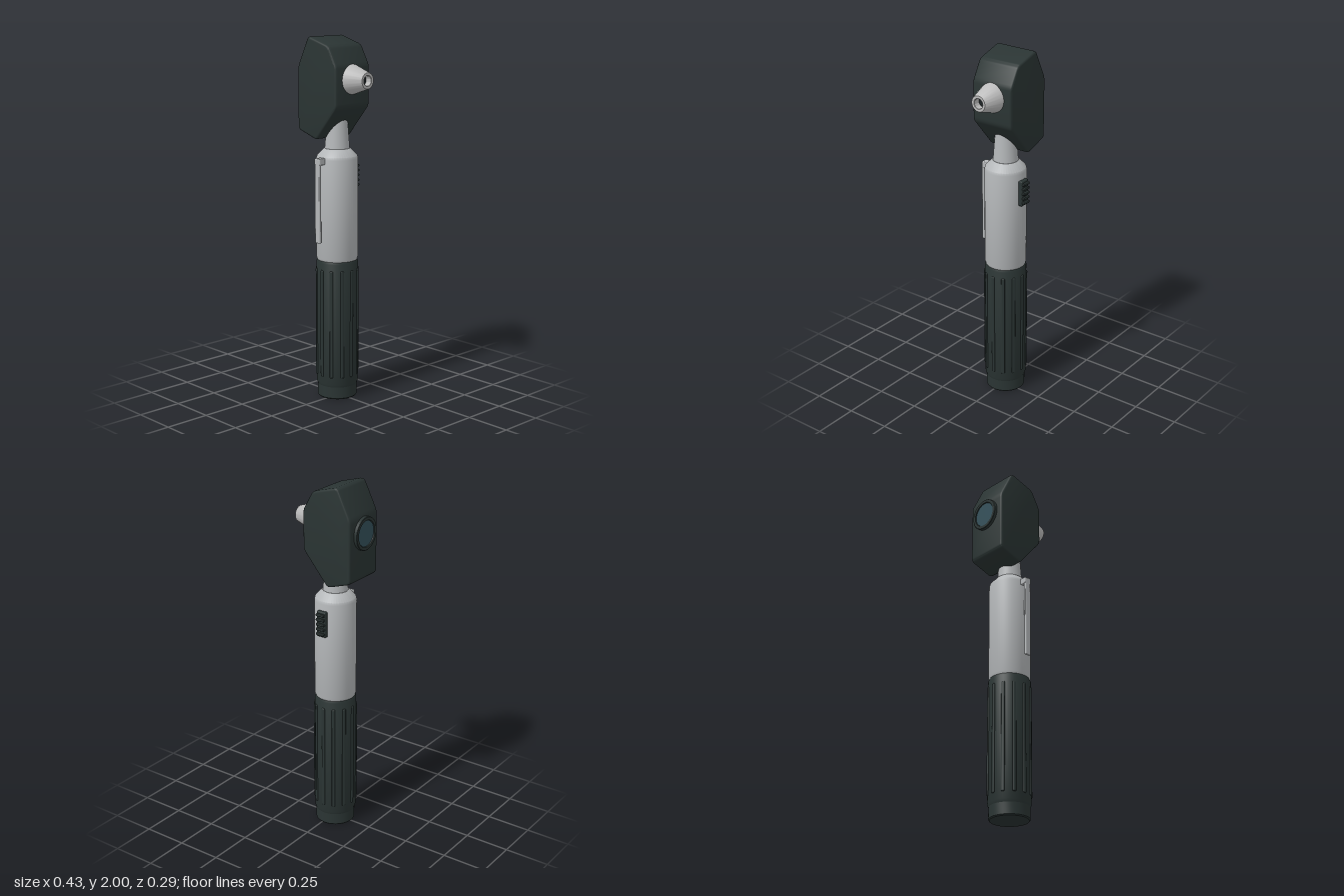
import * as THREE from 'three';
import { toCreasedNormals } from 'three/addons/utils/BufferGeometryUtils.js';
import { RoundedBoxGeometry } from 'three/addons/geometries/RoundedBoxGeometry.js';

const AX = -0.018, AZ = -0.004; // handle axis

const material = (name, color) => {
  const m = new THREE.MeshStandardMaterial({ color });
  m.name = name;
  return m;
};

// Closed polygon with softened corners
function roundedPolygon(points, r) {
  const pts = points.map(([x, y]) => new THREE.Vector2(x, y));
  const shape = new THREE.Shape();
  pts.forEach((p, i) => {
    const prev = pts[(i + pts.length - 1) % pts.length], next = pts[(i + 1) % pts.length];
    const a = p.clone().add(prev.clone().sub(p).setLength(r));
    const b = p.clone().add(next.clone().sub(p).setLength(r));
    if (i === 0) shape.moveTo(a.x, a.y); else shape.lineTo(a.x, a.y);
    shape.quadraticCurveTo(p.x, p.y, b.x, b.y);
  });
  shape.closePath();
  return shape;
}

const lathe = (profile, segments = 48) => toCreasedNormals(
  new THREE.LatheGeometry(profile.map(([r, y]) => new THREE.Vector2(r, y)), segments), 0.5);

export function createModel() {
  const dark = material('dark green grey', 0x2a3433);
  const silver = material('silver', 0xb4b7b9);
  const pale = material('pale grey', 0xbcbcbc);
  const glass = material('teal glass', 0x34505a);
  const black = material('bore black', 0x1c2224);

  const model = new THREE.Group();
  const add = (name, geometry, mat, x = 0, y = 0, z = 0, parent = model) => {
    const mesh = new THREE.Mesh(geometry, mat);
    mesh.name = name;
    mesh.position.set(x, y, z);
    parent.add(mesh);
    return mesh;
  };

  // Handle, stacked along its axis
  const handle = new THREE.Group();
  handle.name = 'handle';
  handle.position.set(AX, 0, AZ);
  model.add(handle);
  add('endCap', lathe([[0, 0], [0.104, 0], [0.109, 0.006], [0.109, 0.07], [0, 0.07]]), dark, 0, 0, 0, handle);
  add('grip', lathe([[0, 0.065], [0.107, 0.065], [0.115, 0.085], [0.115, 0.772], [0.108, 0.787], [0, 0.787]]),
    dark, 0, 0, 0, handle);
  add('barrel', lathe([[0, 0.78], [0.108, 0.78], [0.114, 0.798], [0.114, 1.345], [0.11, 1.36], [0.076, 1.396],
    [0.07, 1.4], [0, 1.4]]), silver, 0, 0, 0, handle);
  add('neck', new THREE.CylinderGeometry(0.054, 0.069, 0.19, 40), silver, 0, 1.485, 0, handle);

  // Raised ribs around the grip
  const ribs = new THREE.Group();
  ribs.name = 'gripRibs';
  handle.add(ribs);
  const ribGeometry = new RoundedBoxGeometry(0.02, 0.61, 0.02, 2, 0.006);
  for (let i = 0; i < 12; i++) {
    const a = (i / 12) * Math.PI * 2;
    add('rib', ribGeometry, dark, Math.sin(a) * 0.111, 0.43, Math.cos(a) * 0.111, ribs).rotation.y = a;
  }

  // Pocket clip on the front
  add('clipMount', new RoundedBoxGeometry(0.043, 0.036, 0.046, 2, 0.005), silver, AX, 1.338, 0.122);
  add('clipBar', new RoundedBoxGeometry(0.037, 0.462, 0.016, 2, 0.005), silver, AX, 1.122, 0.138);

  // Slide switch on the back
  add('switchBase', new RoundedBoxGeometry(0.058, 0.145, 0.03, 2, 0.006), dark, AX + 0.002, 1.237, -0.121);
  for (let i = 0; i < 5; i++) {
    add('switchRidge', new RoundedBoxGeometry(0.052, 0.014, 0.02, 2, 0.004), dark,
      AX + 0.002, 1.183 + i * 0.027, -0.138);
  }

  // Faceted head housing
  const outline = roundedPolygon([[-0.197, 1.497], [-0.052, 1.45], [0.103, 1.632], [0.103, 1.85],
    [0.042, 1.957], [-0.115, 2.003], [-0.197, 1.838]], 0.02);
  const bevel = 0.012;
  const housing = new THREE.ExtrudeGeometry(outline, {
    depth: 0.25 - 2 * bevel, bevelThickness: bevel, bevelSize: bevel, bevelOffset: -bevel,
    bevelSegments: 3, curveSegments: 4,
  });
  housing.translate(0, 0, -0.125 + bevel);
  add('headHousing', toCreasedNormals(housing, 0.6), dark, 0, 0, AZ);

  // Eyepiece ring and lens, facing -x
  const eyepiece = new THREE.Group();
  eyepiece.name = 'eyepiece';
  eyepiece.position.set(-0.19, 1.747, AZ);
  eyepiece.rotation.z = Math.PI / 2;
  model.add(eyepiece);
  add('eyepieceRing', lathe([[0.09, -0.01], [0.09, 0.024], [0.088, 0.026], [0.072, 0.026], [0.07, 0.018],
    [0, 0.018]]), dark, 0, 0, 0, eyepiece);
  add('lens', new THREE.CylinderGeometry(0.069, 0.069, 0.005, 48), glass, 0, 0.019, 0, eyepiece);

  // Hollow ear tip, facing +x
  const tip = new THREE.Group();
  tip.name = 'earTip';
  tip.position.set(0, 1.778, AZ);
  tip.rotation.z = -Math.PI / 2;
  model.add(tip);
  add('tipCone', lathe([[0.083, 0.09], [0.045, 0.212], [0.043, 0.214], [0.029, 0.214], [0.027, 0.212],
    [0.029, 0.17]]), pale, 0, 0, 0, tip);
  add('tipBore', new THREE.CylinderGeometry(0.032, 0.032, 0.006, 32), black, 0, 0.17, 0, tip);

  return model;
}
